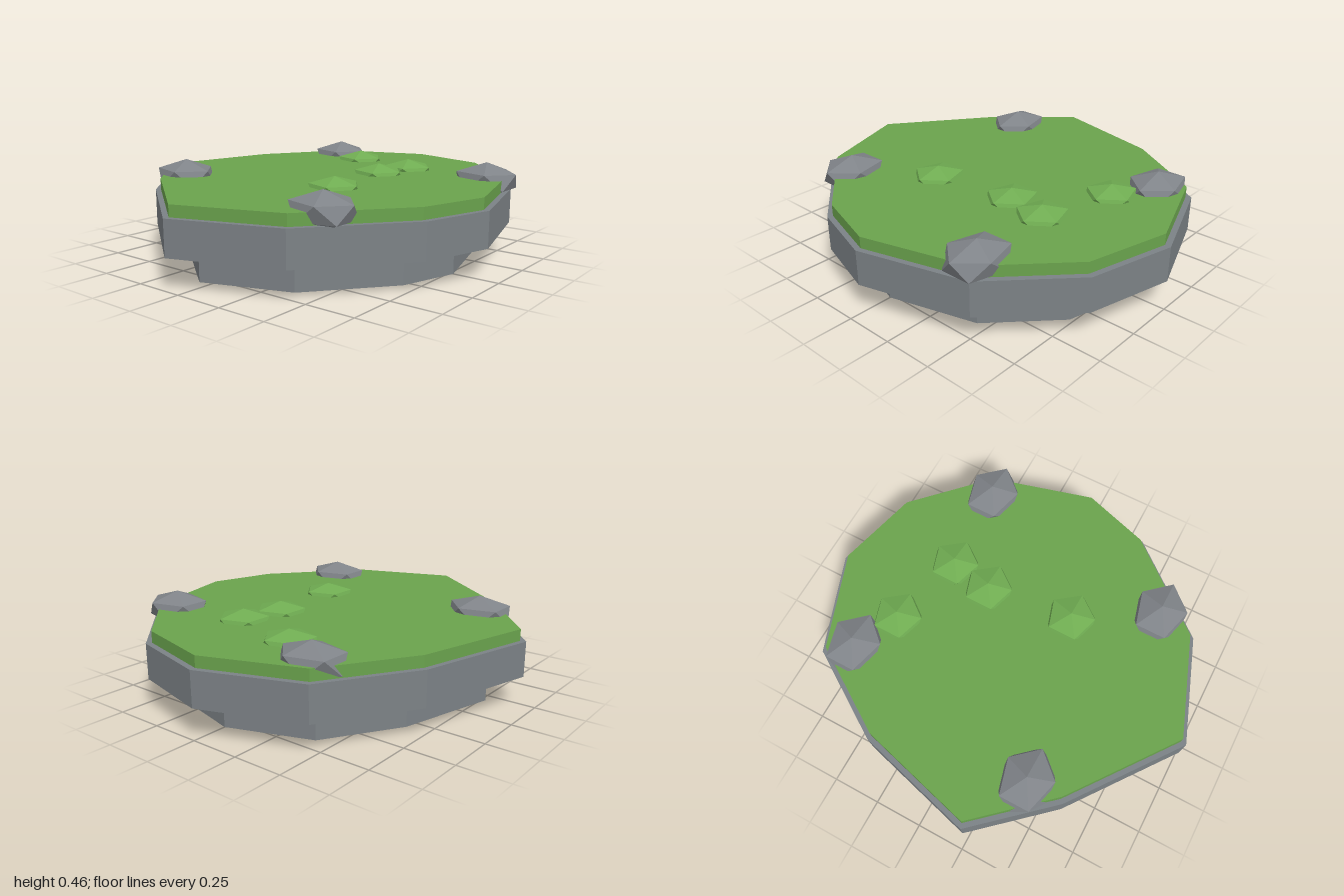
import * as THREE from 'three';
import { ConvexGeometry } from 'three/addons/geometries/ConvexGeometry.js';

// Irregular island outline as (x, z) corners
const OUTLINE = [
  [0.94, 0], [0.83, 0.35], [0.45, 0.81], [-0.075, 1], [-0.61, 0.6], [-0.94, 0.23],
  [-0.78, -0.38], [-0.5, -0.82], [0, -1], [0.43, -0.89], [0.79, -0.54],
];

// Flat tier: the outline scaled and extruded from y0 to y1
function tier(scale, y0, y1) {
  const shape = new THREE.Shape(OUTLINE.map(([x, z]) => new THREE.Vector2(x * scale, -z * scale)));
  const geo = new THREE.ExtrudeGeometry(shape, { depth: y1 - y0, bevelEnabled: false });
  return geo.rotateX(-Math.PI / 2).translate(0, y0, 0);
}

// Squashed icosahedron standing on a corner
function lump(rx, ry, rz) {
  const h = 1 / Math.sqrt(5), r = 2 * h;
  const points = [new THREE.Vector3(0, ry, 0), new THREE.Vector3(0, -ry, 0)];
  for (let i = 0; i < 10; i++) {
    const a = (i * Math.PI) / 5;
    const y = i % 2 ? -h : h;
    points.push(new THREE.Vector3(Math.cos(a) * r * rx, y * ry, Math.sin(a) * r * rz));
  }
  return new ConvexGeometry(points);
}

export function createModel() {
  const group = new THREE.Group();
  const material = (name, color) => {
    const m = new THREE.MeshStandardMaterial({ color });
    m.name = name;
    m.flatShading = true;
    return m;
  };
  const stone = material('stone', 0x7c8286);
  const grass = material('grass', 0x6aa34d);
  const leaf = material('leaf', 0x70ad52);
  const rock = material('rock', 0x808489);

  const add = (name, geo, mat, x = 0, y = 0, z = 0) => {
    const mesh = new THREE.Mesh(geo, mat);
    mesh.name = name;
    mesh.position.set(x, y, z);
    group.add(mesh);
  };

  // Stacked island tiers
  add('lowerStone', tier(0.82, 0, 0.15), stone);
  add('upperStone', tier(1, 0.15, 0.325), stone);
  add('grassTop', tier(0.97, 0.325, 0.382), grass);

  // Rocks around the rim
  const rockGeo = lump(0.18, 0.088, 0.147);
  [[-0.4, -0.68], [0.68, -0.48], [-0.6, 0.4], [0.475, 0.6]].forEach(([x, z], i) =>
    add('rock' + (i + 1), rockGeo, rock, x, 0.37, z));

  // Low bushes on the grass
  const bushGeo = lump(0.144, 0.064, 0.137);
  [[-0.17, -0.565], [0.225, -0.455], [0.183, -0.235], [0.236, 0.213]].forEach(([x, z], i) =>
    add('bush' + (i + 1), bushGeo, leaf, x, 0.37, z));

  return group;
}
